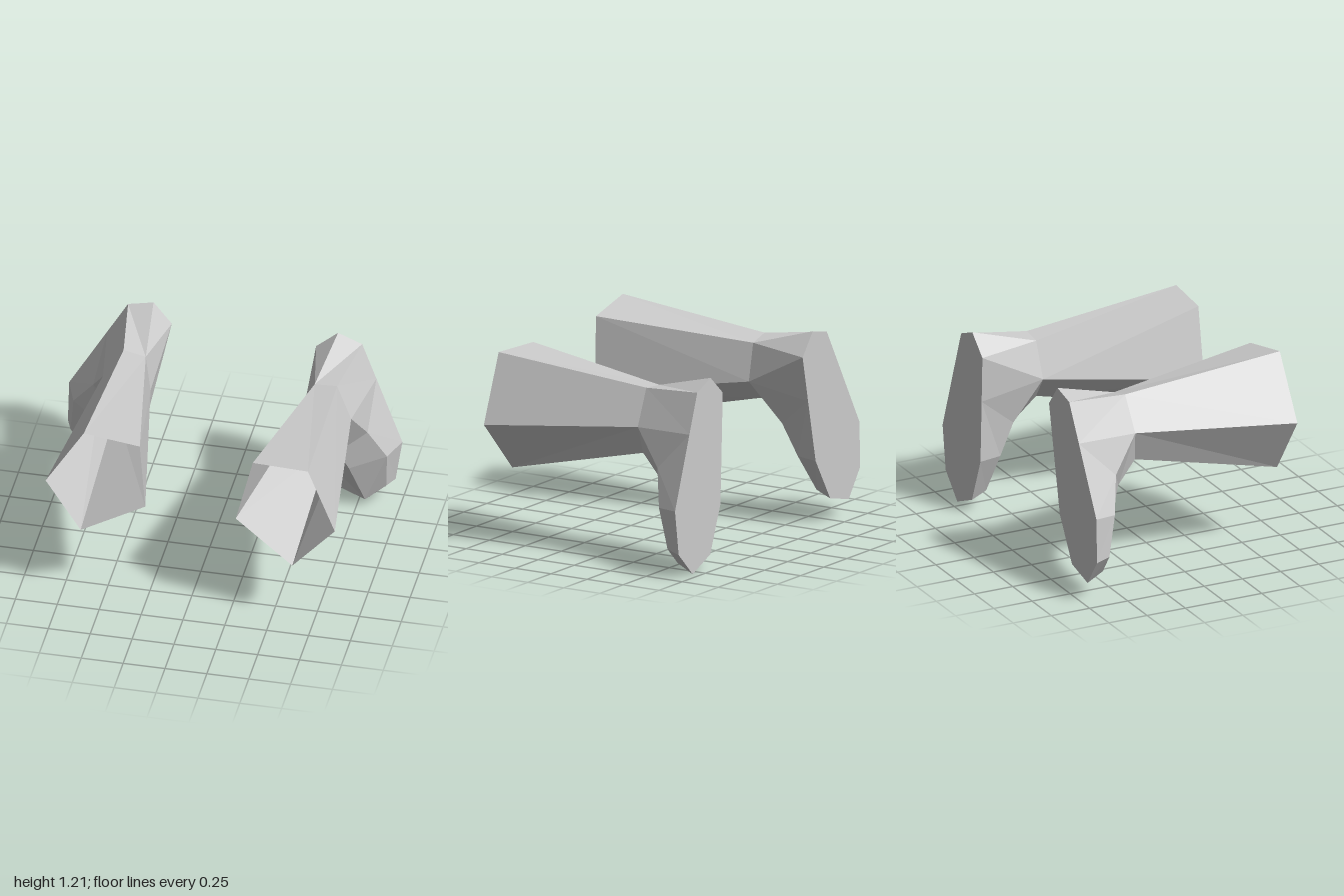
import * as THREE from 'three';

const material = new THREE.MeshStandardMaterial({ color: 0xcccccc, flatShading: true, side: THREE.DoubleSide });

// Collects flat triangles and quads into one mesh, skipping collapsed corners
function faceted(name, build) {
  const pos = [];
  const tri = (a, b, c) => {
    if (a !== b && b !== c && a !== c) pos.push(...a, ...b, ...c);
  };
  const quad = (a, b, c, d) => { tri(a, b, c); tri(a, c, d); };
  build(tri, quad);
  const geometry = new THREE.BufferGeometry();
  geometry.setAttribute('position', new THREE.Float32BufferAttribute(pos, 3));
  geometry.computeVertexNormals();
  const mesh = new THREE.Mesh(geometry, material);
  mesh.name = name;
  return mesh;
}

// Five-sided sections: open upper rim and narrow ankle
const rim = [[0.4, 1.135, 0.67], [0.735, 1.14, 0.695], [0.895, 0.735, 0.695], [0.635, 0.43, 0.665], [0.295, 0.71, 0.655]];
const ankle = [[0.56, 1.04, -0.31], [0.695, 1.05, -0.305], [0.78, 0.83, -0.3], [0.66, 0.645, -0.26], [0.49, 0.82, -0.3]];

// Instep rows from ankle to toe, each running outer side, ridge, inner side
const instep = [
  [ankle[2], ankle[3], ankle[4]],
  [[0.84, 0.62, -0.475], [0.68, 0.515, -0.39], [0.54, 0.56, -0.47]],
  [[0.94, 0.41, -0.55], [0.73, 0.35, -0.47], [0.55, 0.36, -0.55]],
  [[0.925, 0.165, -0.6], [0.8, 0.055, -0.59], [0.635, 0.12, -0.6]],
];

// Flat sole outline, heel first and then down the outer side
const sole = [
  [0.485, 1.03], [0.616, 1.145], [0.76, 1.085], [0.845, 0.85], [1, 0.42],
  [0.96, 0.15], [0.81, 0.005], [0.62, 0.085], [0.51, 0.365], [0.495, 0.75],
].map(([x, y]) => [x, y, -0.7]);

function createLeg(name) {
  const leg = new THREE.Group();
  leg.name = name;

  // Hollow shin, open at the front
  leg.add(faceted('shin', (tri, quad) => {
    for (let i = 0; i < 5; i++) {
      const j = (i + 1) % 5;
      quad(rim[j], ankle[j], ankle[i], rim[i]);
    }
  }));

  leg.add(faceted('foot', (tri, quad) => {
    // Top of the foot
    for (let r = 0; r < 3; r++) {
      const [a, b] = [instep[r], instep[r + 1]];
      quad(a[0], a[1], b[1], b[0]);
      quad(a[2], b[2], b[1], a[1]);
    }
    // Side wall between the instep edge and the sole
    const [, b, c, d] = instep;
    const edge = [ankle[0], ankle[0], ankle[1], ankle[2], b[0], c[0], d[0], d[1], d[2], c[2], b[2], ankle[4]];
    const base = [0, 1, 2, 3, 3, 4, 5, 6, 7, 8, 9, 9].map((i) => sole[i]);
    for (let i = 0; i < edge.length; i++) {
      const j = (i + 1) % edge.length;
      quad(edge[i], edge[j], base[j], base[i]);
    }
    // Sole
    for (let i = 1; i < sole.length - 1; i++) tri(sole[0], sole[i], sole[i + 1]);
  }));
  return leg;
}

export function createModel() {
  const model = new THREE.Group();
  model.name = 'lowerLegs';
  model.add(createLeg('leftLeg'));

  // Mirrored leg, tilted a little about the z axis
  const right = createLeg('rightLeg');
  right.scale.x = -1;
  right.rotation.z = THREE.MathUtils.degToRad(-10);
  right.position.set(-0.078, -0.036, 0);
  model.add(right);
  return model;
}
